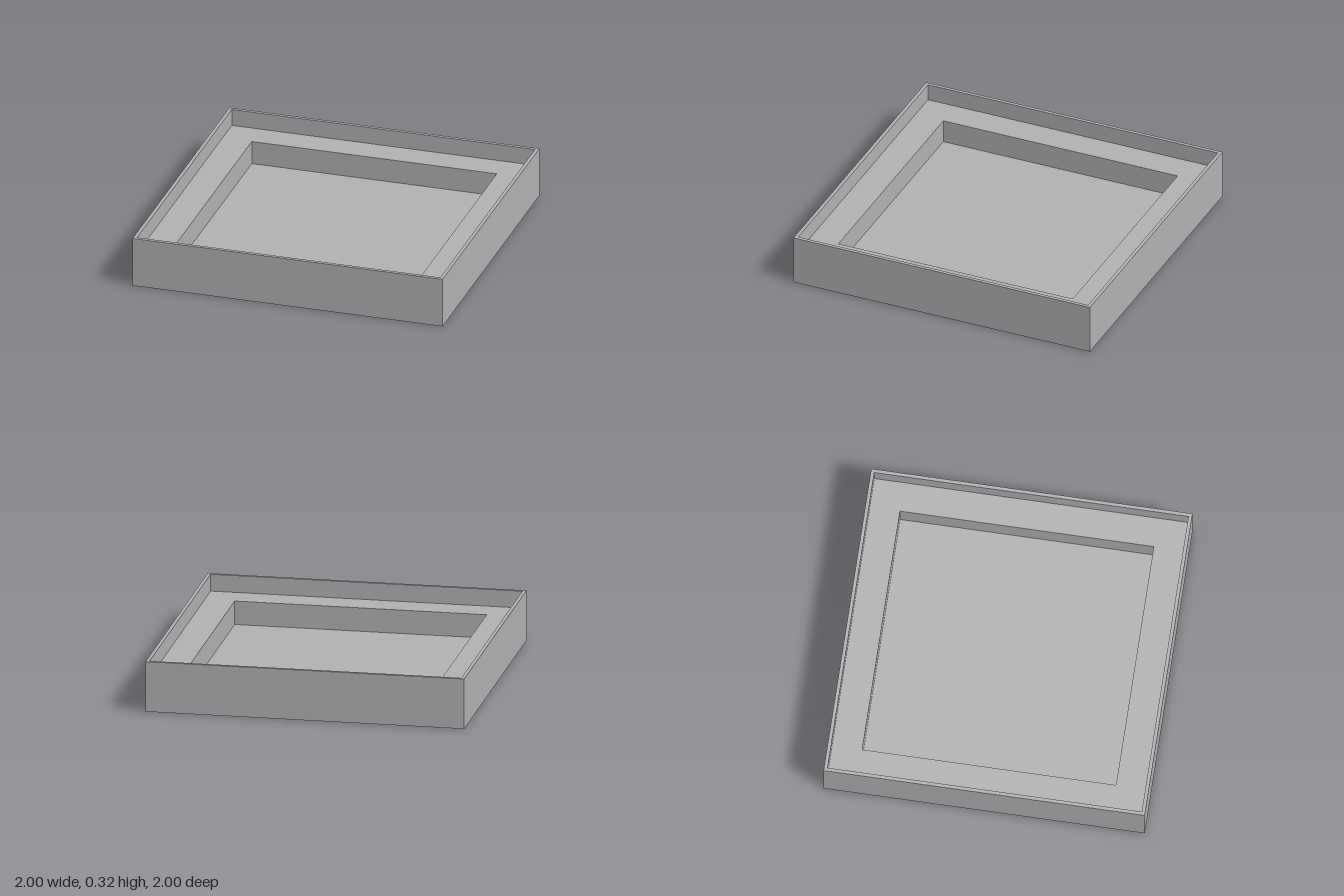
import * as THREE from 'three';

// Half-widths and heights of the stepped square tray
const OUTER = 1, RIM = 0.978, RECESS = 0.79;
const TOP = 0.32, LEDGE = 0.212, FLOOR = 0.062;

// Sweep a [half-width, height] profile around four flat sides
function squareSweep(profile) {
  const points = profile.map(([w, y]) => new THREE.Vector2(w * Math.SQRT2, y));
  const geometry = new THREE.LatheGeometry(points, 4, Math.PI / 4).toNonIndexed();
  geometry.computeVertexNormals();
  return geometry;
}

export function createModel() {
  const grey = new THREE.MeshStandardMaterial({ color: 0xb2b2b2 });
  grey.name = 'grey';

  const parts = {
    // underside, outer walls, thin rim and its inner face
    outerShell: [[0, 0], [OUTER, 0], [OUTER, TOP], [RIM, TOP], [RIM, LEDGE]],
    // flat step inside the rim
    ledge: [[RIM, LEDGE], [RECESS, LEDGE]],
    // sunken walls and floor
    recess: [[RECESS, LEDGE], [RECESS, FLOOR], [0, FLOOR]],
  };

  const tray = new THREE.Group();
  tray.name = 'tray';
  for (const [name, profile] of Object.entries(parts)) {
    const mesh = new THREE.Mesh(squareSweep(profile), grey);
    mesh.name = name;
    tray.add(mesh);
  }
  return tray;
}
